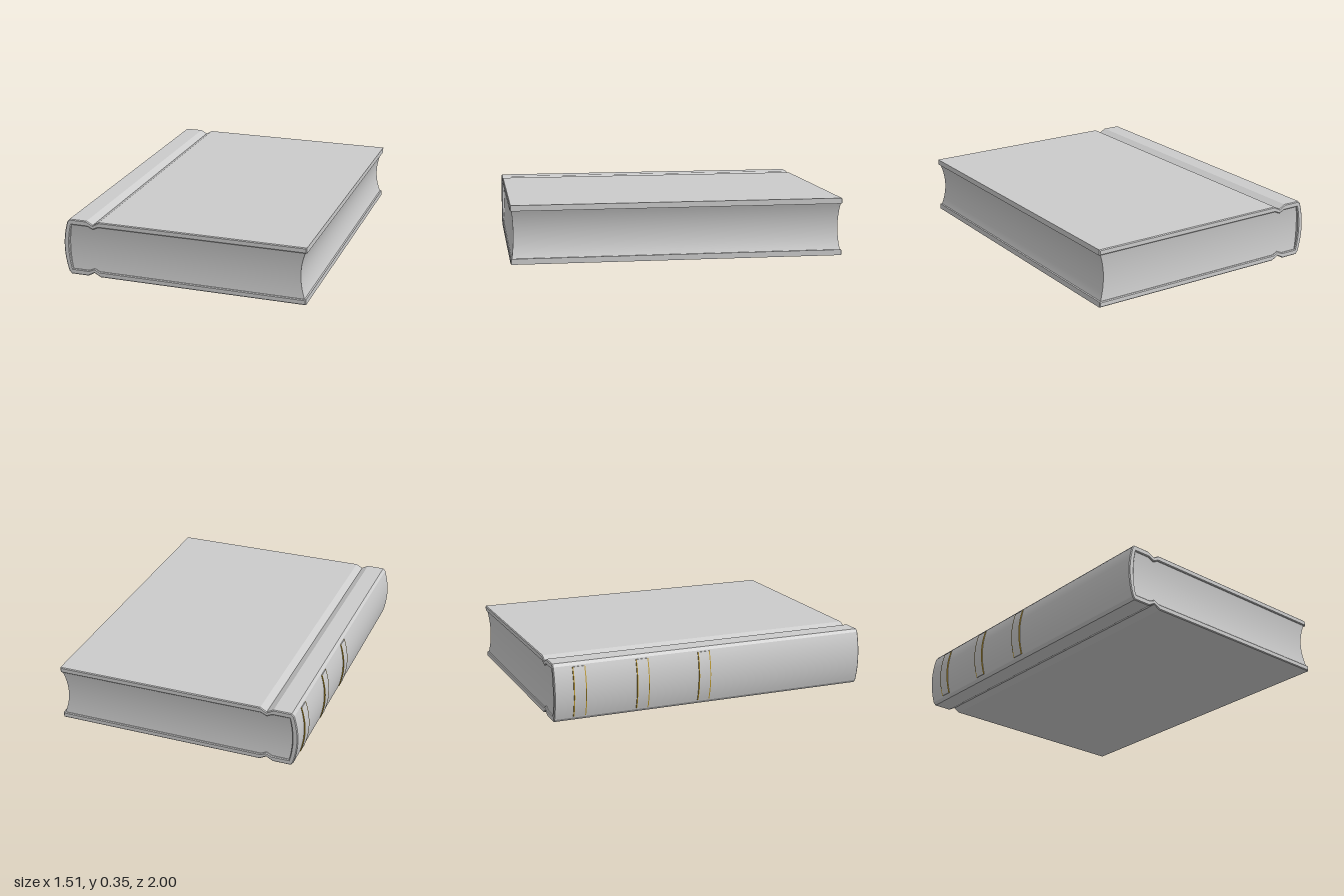
import * as THREE from 'three';
import { toCreasedNormals } from 'three/addons/utils/BufferGeometryUtils.js';

const MID = 0.175; // half the book's thickness

// Points of a bowed curve from the bottom to the top of the spine
function bow(xMid, sag, half, steps = 16) {
  const pts = [];
  for (let i = 0; i <= steps; i++) {
    const t = (i / steps) * 2 - 1;
    pts.push(new THREE.Vector2(xMid + sag * t * t, MID + half * t));
  }
  return pts;
}

// Mirror a profile from the upper cover to the lower one
const flip = (pts) => pts.map((p) => new THREE.Vector2(p.x, 2 * MID - p.y)).reverse();
const vec = (list) => list.map(([x, y]) => new THREE.Vector2(x, y));

function extrudeZ(points, z0, z1, bevel = 0) {
  const geo = new THREE.ExtrudeGeometry(new THREE.Shape(points), {
    depth: z1 - z0 - 2 * bevel,
    bevelEnabled: bevel > 0,
    bevelThickness: bevel, bevelSize: bevel, bevelOffset: -bevel, bevelSegments: 1,
  });
  geo.translate(0, 0, z0 + bevel);
  return toCreasedNormals(geo, 0.35);
}

export function createModel() {
  const grey = new THREE.MeshStandardMaterial({ color: 0xcccccc });
  const gold = new THREE.MeshStandardMaterial({ color: 0xb8962e });
  const book = new THREE.Group();
  book.name = 'book';
  const add = (name, geo, mat, parent = book) => {
    const mesh = new THREE.Mesh(geo, mat);
    mesh.name = name;
    parent.add(mesh);
  };

  // Cover: one wrapped profile with a hinge groove in each board
  const outerTop = vec([[-0.71, 0.35], [-0.6, 0.35], [-0.56, 0.328], [-0.52, 0.35], [0.752, 0.35]]);
  const innerTop = vec([[0.752, 0.316], [-0.525, 0.316], [-0.56, 0.3], [-0.595, 0.316]]);
  const profile = [
    ...bow(-0.75, 0.025, 0.158),
    ...outerTop,
    ...innerTop,
    ...bow(-0.717, 0.018, 0.141).reverse(),
    ...flip(innerTop),
    ...flip(outerTop),
  ];
  add('cover', extrudeZ(profile, -1, 1, 0.005), grey);

  // Page block: bowed spine side, hollow fore edge, slightly hollow ends
  const pages = new THREE.BoxGeometry(2, 2, 2, 1, 20, 1);
  const pos = pages.attributes.position;
  for (let i = 0; i < pos.count; i++) {
    const t = pos.getY(i), t2 = t * t;
    pos.setXYZ(i,
      pos.getX(i) > 0 ? 0.715 + 0.027 * t2 : -0.718 + 0.018 * t2,
      MID + 0.142 * t,
      Math.sign(pos.getZ(i)) * (0.981 + 0.01 * t2));
  }
  pages.computeVertexNormals();
  add('pages', pages, grey);

  // Raised spine bands, each edged with thin gilt lines
  const band = [...bow(-0.757, 0.025, 0.15), ...bow(-0.74, 0.025, 0.15).reverse()];
  for (const z of [-0.845, -0.455, -0.06]) {
    const group = new THREE.Group();
    group.name = 'spineBand';
    book.add(group);
    add('bandCore', extrudeZ(band, z - 0.033, z + 0.033), grey, group);
    for (const s of [-1, 1]) {
      const c = z + s * 0.036;
      add('giltLine', extrudeZ(band, c - 0.003, c + 0.003), gold, group);
    }
  }
  return book;
}
